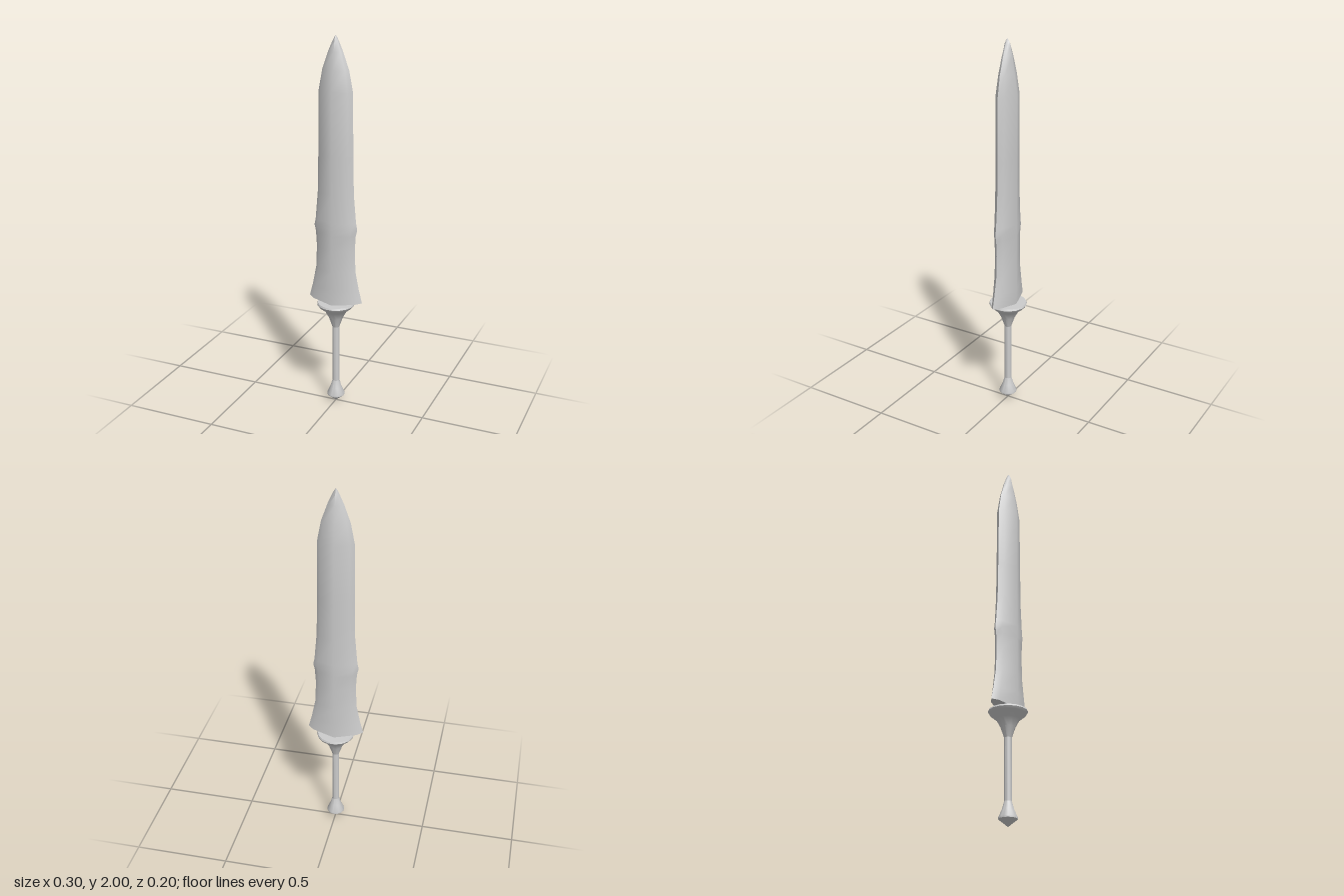
import * as THREE from 'three';
import { toCreasedNormals } from 'three/addons/utils/BufferGeometryUtils.js';

const material = new THREE.MeshStandardMaterial({ color: 0xcccccc });

// Blade stations: height, half width, half thickness
const STATIONS = [
  [0.61, 0.15, 0.055], [0.68, 0.132, 0.055], [0.78, 0.112, 0.055], [0.9, 0.107, 0.055],
  [0.98, 0.112, 0.055], [1.015, 0.12, 0.055], [1.05, 0.113, 0.055], [1.2, 0.1, 0.055],
  [1.4, 0.096, 0.055], [1.725, 0.092, 0.055], [1.83, 0.072, 0.04], [1.92, 0.04, 0.027],
  [1.97, 0.018, 0.017], [1.99, 0.007, 0.009],
];

// Cross-section: sharp edges at the sides, bevels, and a ridge on each face
const SECTION = [
  [1, 0], [0.79, 0.45], [0, 1], [-0.79, 0.45],
  [-1, 0], [-0.79, -0.45], [0, -1], [0.79, -0.45],
];

function bladeGeometry() {
  const zMid = 0.003, n = SECTION.length, pos = [], index = [];
  STATIONS.forEach(([y, w, t], row) => {
    for (const [sx, sz] of SECTION) {
      // the shoulder sweeps down towards the middle
      const dip = row === 0 ? 0.017 * (1 - Math.abs(sx)) : 0;
      pos.push(sx * w, y - dip, zMid + sz * t);
    }
  });
  const last = (STATIONS.length - 1) * n;
  const bottom = pos.length / 3, tip = bottom + 1;
  pos.push(0, 0.593, zMid, 0, 2, zMid);
  for (let j = 0; j < n; j++) {
    const k = (j + 1) % n;
    for (let r = 0; r < last; r += n) {
      index.push(r + j, r + n + j, r + k, r + k, r + n + j, r + n + k);
    }
    index.push(bottom, j, k, last + j, tip, last + k);
  }
  const g = new THREE.BufferGeometry();
  g.setAttribute('position', new THREE.Float32BufferAttribute(pos, 3));
  g.setIndex(index);
  return toCreasedNormals(g, 1.05);
}

function lathe(points) {
  const g = new THREE.LatheGeometry(points.map(([r, y]) => new THREE.Vector2(r, y)), 16, Math.PI / 16);
  return toCreasedNormals(g, 0.7);
}

export function createModel() {
  const model = new THREE.Group();
  const add = (name, geometry) => {
    const mesh = new THREE.Mesh(geometry, material);
    mesh.name = name;
    model.add(mesh);
  };

  add('blade', bladeGeometry());
  // flared round guard under the blade
  add('guard', lathe([
    [0.019, 0.45], [0.038, 0.505], [0.06, 0.545], [0.094, 0.573],
    [0.101, 0.585], [0.097, 0.594], [0, 0.594],
  ]));
  add('grip', lathe([[0.019, 0.13], [0.019, 0.45]]));
  // pointed pommel
  add('pommel', lathe([[0, 0.005], [0.047, 0.043], [0.047, 0.052], [0.03, 0.09], [0.019, 0.13]]));
  return model;
}
